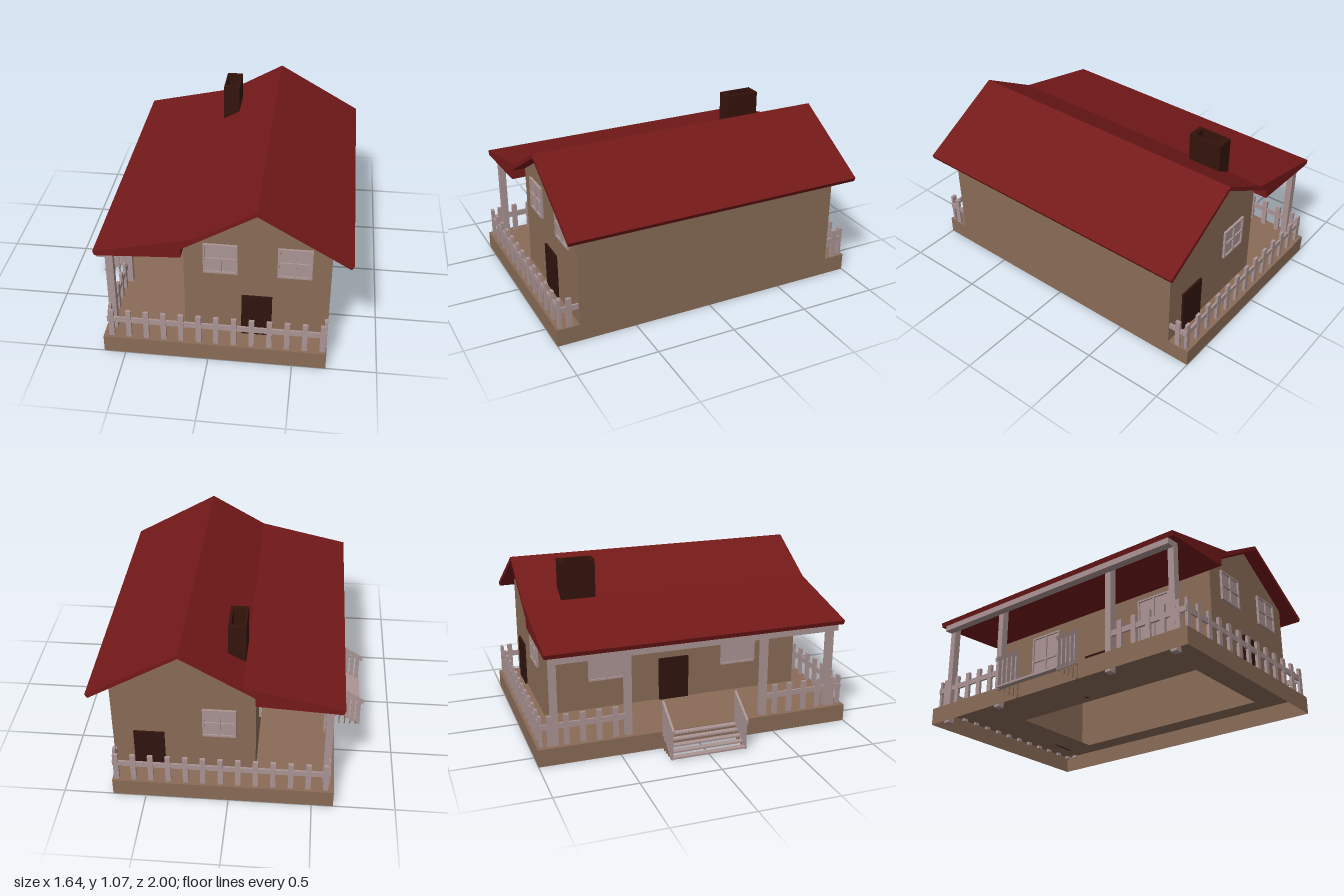
import * as THREE from 'three';

const mat = (color) => new THREE.MeshStandardMaterial({ color, side: THREE.DoubleSide, flatShading: true });

export function createModel() {
  const root = new THREE.Group();
  const brown = mat(0x8a6c57), red = mat(0x741919), pale = mat(0xab9494);
  const dark = mat(0x30140f), soot = mat(0x35130c);

  const group = (name, parent = root) => {
    const g = new THREE.Group();
    g.name = name;
    parent.add(g);
    return g;
  };
  const add = (parent, name, geo, material) => {
    const m = new THREE.Mesh(geo, material);
    m.name = name;
    parent.add(m);
    return m;
  };
  // box given by its lower and upper limits
  const box = (parent, name, material, x0, x1, y0, y1, z0, z1) => {
    const m = add(parent, name, new THREE.BoxGeometry(x1 - x0, y1 - y0, z1 - z0), material);
    m.position.set((x0 + x1) / 2, (y0 + y1) / 2, (z0 + z1) / 2);
    return m;
  };
  const shape = (pts) => new THREE.Shape(pts.map(([x, y]) => new THREE.Vector2(x, y)));
  const rect = (x0, x1, y0, y1) => shape([[x0, y0], [x1, y0], [x1, y1], [x0, y1]]);
  // thin upright walls facing along z or along x
  const wallZ = (parent, name, outline, z) => {
    add(parent, name, new THREE.ShapeGeometry(outline), brown).position.z = z;
  };
  const wallX = (parent, name, x, y0, y1, halfZ) => {
    const m = add(parent, name, new THREE.PlaneGeometry(2 * halfZ, y1 - y0), brown);
    m.rotation.y = Math.sign(x) * Math.PI / 2;
    m.position.set(x, (y0 + y1) / 2, 0);
  };

  // Hollow base, open below, with an opening in the floor under the house
  const floorY = 0.11, bx0 = -0.63, bx1 = 0.7;
  const base = group('base');
  for (const s of [1, -1]) wallZ(base, 'baseEnd', rect(bx0, bx1, 0, floorY), s);
  for (const x of [bx0, bx1]) wallX(base, 'baseSide', x, 0, floorY, 1);
  const floorShape = rect(bx0, bx1, -1, 1);
  floorShape.holes.push(rect(-0.1, 0.57, -0.7, 0.68));
  add(base, 'floor', new THREE.ShapeGeometry(floorShape).rotateX(-Math.PI / 2), brown).position.y = floorY;

  // House walls
  const house = group('house'), hx = -0.155, hz = 0.86;
  const gable = shape([[hx, floorY], [bx1, floorY], [bx1, 0.762], [0.275, 1.012], [hx, 0.758]]);
  for (const s of [1, -1]) wallZ(house, 'gableWall', gable, s * hz);
  wallX(house, 'porchWall', hx, floorY, 0.758, hz);
  wallX(house, 'sideWall', bx1, floorY, 0.762, hz);

  // Roof with a kinked slope over the porch
  const roofHalf = 0.947;
  const roofShape = shape([
    [-0.665, 0.7], [-0.655, 0.672], [hx, 0.7], [hx, 0.757], [0.275, 1.01],
    [0.806, 0.698], [0.82, 0.724], [0.275, 1.036], [-0.085, 0.83],
  ]);
  const roofGeo = new THREE.ExtrudeGeometry(roofShape, { depth: 2 * roofHalf, bevelEnabled: false });
  add(root, 'roof', roofGeo.translate(0, 0, -roofHalf), red);

  // Open-topped chimney
  const flue = rect(-0.085, 0.02, 0.49, 0.71);
  flue.holes.push(rect(-0.073, 0.003, 0.52, 0.68));
  const flueGeo = new THREE.ExtrudeGeometry(flue, { depth: 0.27, bevelEnabled: false });
  add(root, 'chimney', flueGeo.rotateX(-Math.PI / 2), soot).position.y = 0.8;

  // Four-pane window, built facing +z around its centre
  const makeWindow = (w, h) => {
    const g = group('window'), a = w / 2, b = h / 2, t = 0.012, d = 0.015;
    box(g, 'pane', pale, -a, a, -b, b, 0, 0.005);
    for (const s of [1, -1]) {
      box(g, 'frameSide', pale, s * (a - t / 2) - t / 2, s * (a - t / 2) + t / 2, -b, b, 0, d);
      box(g, 'frameRail', pale, -a, a, s * (b - t / 2) - t / 2, s * (b - t / 2) + t / 2, 0, d);
    }
    box(g, 'mullion', pale, -t / 2, t / 2, -b, b, 0, d);
    box(g, 'crossbar', pale, -a, a, -t / 2, t / 2, 0, d);
    return g;
  };
  for (const x of [0.06, 0.49]) makeWindow(0.2, 0.2).position.set(x, 0.65, hz);
  const backWindow = makeWindow(0.2, 0.2);
  backWindow.position.set(0.06, 0.49, -hz);
  backWindow.rotation.y = Math.PI;
  for (const z of [-0.45, 0.45]) {
    const w = makeWindow(0.24, 0.355);
    w.position.set(hx, 0.478, z);
    w.rotation.y = -Math.PI / 2;
  }

  // Doors
  box(root, 'frontDoor', dark, 0.185, 0.365, floorY, 0.395, hz, hz + 0.013);
  box(root, 'backDoor', dark, 0.39, 0.575, floorY, 0.395, -hz - 0.013, -hz);
  box(root, 'porchDoor', dark, hx - 0.013, hx, floorY, 0.395, -0.1, 0.1);

  // Porch posts and the beam under the eave
  const porch = group('porch');
  for (const z of [-0.89, -0.44, 0.44, 0.89])
    box(porch, 'post', pale, -0.605, -0.56, 0, 0.685, z - 0.02, z + 0.02);
  box(porch, 'beam', pale, -0.655, -0.603, 0.635, 0.676, -0.91, 0.91);

  // Picket fence around both ends
  const fence = group('fence');
  const railY = [0.215, 0.25], picketY = [0.09, 0.3];
  for (const s of [1, -1]) {
    const z = s * 0.975;
    box(fence, 'endRail', pale, -0.605, 0.695, ...railY, z - 0.006, z + 0.006);
    for (let i = 0; i < 13; i++) {
      const x = -0.58 + i * 0.1045;
      box(fence, 'picket', pale, x - 0.016, x + 0.016, ...picketY, z - 0.009, z + 0.009);
    }
    // short return to the house wall
    const mid = s * 0.92;
    box(fence, 'returnRail', pale, 0.683, 0.695, ...railY, mid - 0.06, mid + 0.06);
    box(fence, 'picket', pale, 0.68, 0.698, ...picketY, mid - 0.016, mid + 0.016);
    // run along the porch edge
    const run = s * 0.71;
    box(fence, 'porchRail', pale, -0.601, -0.589, ...railY, run - 0.265, run + 0.265);
    for (let i = 0; i < 5; i++) {
      const pz = s * (0.52 + i * 0.1);
      box(fence, 'picket', pale, -0.604, -0.586, ...picketY, pz - 0.016, pz + 0.016);
    }
  }

  // Open steps with sloping handrails
  const steps = group('steps');
  const rail = shape([[-0.82, 0.17], [-0.632, 0.288], [-0.632, 0.315], [-0.82, 0.197]]);
  for (let i = 0; i < 5; i++) {
    const x = -0.79 + i * 0.036, y = 0.018 + i * 0.022;
    box(steps, 'tread', pale, x - 0.02, x + 0.016, y - 0.01, y, -0.24, 0.24);
    for (const s of [1, -1]) {
      const z = s * 0.235;
      box(steps, 'baluster', pale, x - 0.013, x + 0.013, y - 0.018, 0.19 + i * 0.0226, z - 0.005, z + 0.005);
      box(steps, 'stepLeg', brown, x + 0.009, x + 0.016, 0, y, z - 0.005, z + 0.005);
    }
  }
  for (const s of [1, -1]) {
    const geo = new THREE.ExtrudeGeometry(rail, { depth: 0.014, bevelEnabled: false });
    add(steps, 'handrail', geo, pale).position.z = s * 0.235 - 0.007;
  }

  return root;
}
